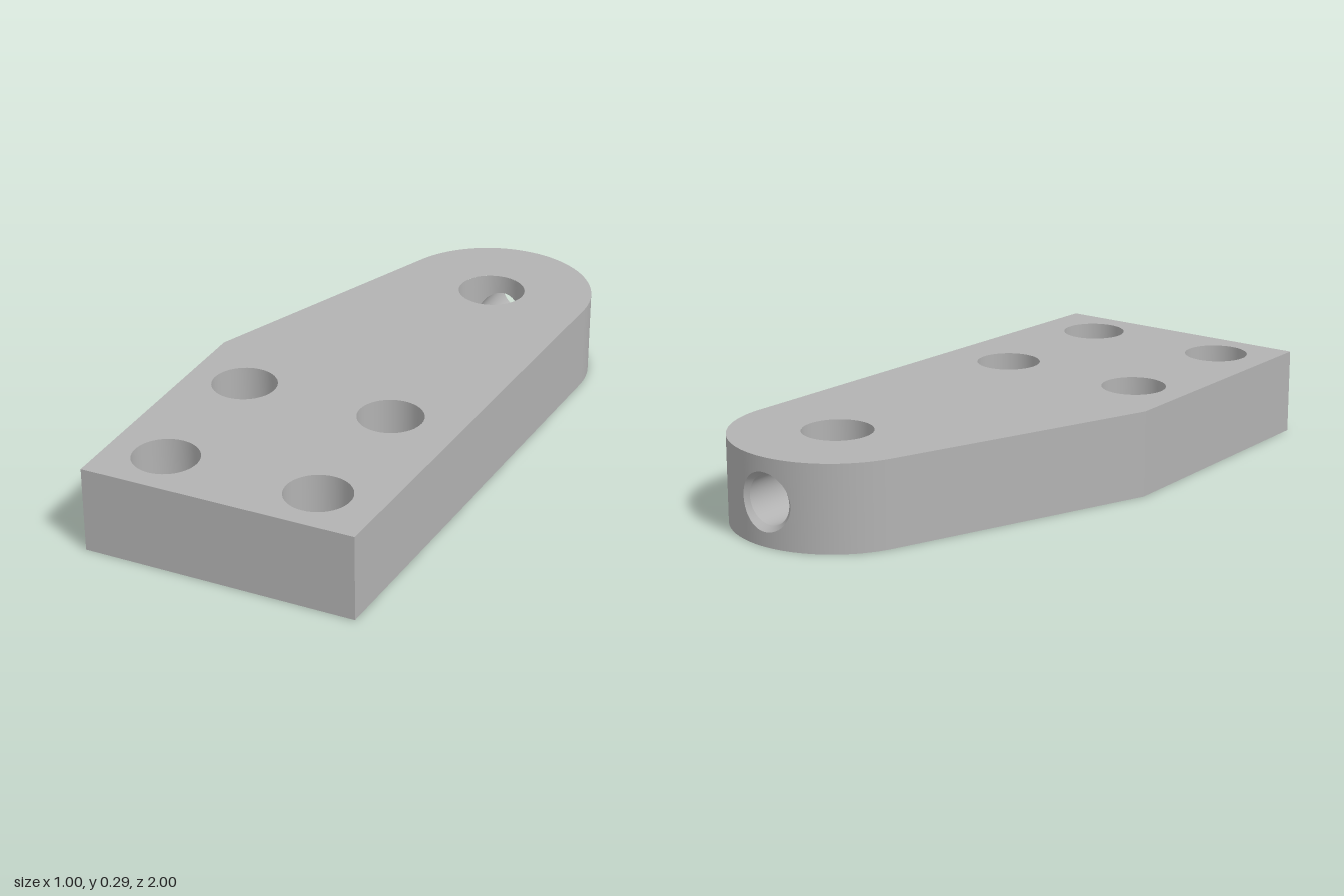
import * as THREE from 'three';
import { mergeGeometries } from 'three/addons/utils/BufferGeometryUtils.js';
import { ParametricGeometry } from 'three/addons/geometries/ParametricGeometry.js';

const H = 0.286, CX = 0.155, CZ = -0.655;      // thickness, centre of rounded end
const R = 0.345, BORE = 0.115;                 // rounded end and pivot bore radii
const DRILL = 0.08, RIM = 0.095;               // cross hole and its countersink
const BOLT = 0.065, HEAD = 0.107, SINK = 0.13; // counterbored bolt holes
const W_OUT = 0.45, W_IN = 1.2;                // half angles of the pierced wall patches
const TAU = Math.PI * 2;
const boltSpots = [-0.305, 0.21].flatMap(x => [0.31, 0.825].map(z => [x, z]));
const frontRight = [0.412, 1], frontLeft = [-0.5, 1], sideLeft = [-0.5, 0.085];

// Point on a circle in plan; angle 0 faces the back, positive towards +x
const onCircle = (cx, cz, r, a) => [cx + r * Math.sin(a), cz - r * Math.cos(a)];

// Angle at which the line from p touches the rounded end
function tangentAngle([x, z], side) {
  const dx = x - CX, dz = z - CZ;
  return Math.atan2(dx, -dz) + side * Math.acos(R / Math.hypot(dx, dz));
}
const A_LEFT = tangentAngle(sideLeft, 1), A_RIGHT = tangentAngle(frontRight, -1);

// Upright wall along a plan path, swept from one height to another
function wall(path, y0, y1, steps) {
  return new ParametricGeometry((u, v, p) => {
    const [x, z] = path(u);
    p.set(x, y0 + (y1 - y0) * v, z);
  }, steps, 1);
}
const arcWall = (cx, cz, r, a0, a1, y0, y1, steps = 48) =>
  wall(u => onCircle(cx, cz, r, a0 + (a1 - a0) * u), y0, y1, steps);
const flatWall = (a, b) =>
  wall(u => [a[0] + (b[0] - a[0]) * u, a[1] + (b[1] - a[1]) * u], H, 0, 1);

// Curved patch of full height, pierced by a round hole
function piercedPatch(r, hole, w, dir) {
  return new ParametricGeometry((u, v, p) => {
    const c = Math.cos(dir * u * TAU), s = Math.sin(dir * u * TAU);
    const k = 1 / Math.max(Math.abs(c), Math.abs(s));
    const a = THREE.MathUtils.lerp(Math.asin(hole * c / r), w * c * k, v);
    const y = THREE.MathUtils.lerp(hole * s, H / 2 * s * k, v);
    const [x, z] = onCircle(CX, CZ, r, a);
    p.set(x, H / 2 + y, z);
  }, 64, 8);
}

// Inner face of the cross hole between two rings of given radius and depth
function drillWall(r0, z0, r1, z1) {
  return new ParametricGeometry((u, v, p) => {
    const c = Math.cos(-u * TAU), s = Math.sin(-u * TAU);
    const r = THREE.MathUtils.lerp(r0, r1, v);
    p.set(CX + r * c, H / 2 + r * s, THREE.MathUtils.lerp(z0(r0 * c), z1(r1 * c), v));
  }, 64, 1);
}
const depthOn = r => x => CZ - Math.sqrt(r * r - x * x);

// Flat top (up = 1) or bottom (up = -1) face with its holes
function face(up, y, boltRadius) {
  const to2D = ([x, z]) => new THREE.Vector2(x, -up * z);
  const circle = (cx, cz, r) =>
    Array.from({ length: 48 }, (_, i) => to2D(onCircle(cx, cz, r, i / 48 * TAU)));
  const arc = Array.from({ length: 73 }, (_, i) =>
    onCircle(CX, CZ, R, A_LEFT + (A_RIGHT - A_LEFT) * i / 72));
  const shape = new THREE.Shape([...arc, frontRight, frontLeft, sideLeft].map(to2D));
  shape.holes.push(new THREE.Path(circle(CX, CZ, BORE)));
  for (const [x, z] of boltSpots) shape.holes.push(new THREE.Path(circle(x, z, boltRadius)));
  return new THREE.ShapeGeometry(shape).rotateX(-up * Math.PI / 2).translate(0, y, 0);
}

export function createModel() {
  const group = new THREE.Group();
  const grey = new THREE.MeshStandardMaterial({ color: 0xb2b2b2 });
  grey.name = 'plain grey';
  const add = (name, ...geos) => {
    const mesh = new THREE.Mesh(geos.length > 1 ? mergeGeometries(geos) : geos[0], grey);
    mesh.name = name;
    group.add(mesh);
  };

  add('topFace', face(1, H, HEAD));
  add('bottomFace', face(-1, 0, BOLT));

  // Outer sides
  add('straightSides',
    flatWall(onCircle(CX, CZ, R, A_RIGHT), frontRight),
    flatWall(frontRight, frontLeft),
    flatWall(frontLeft, sideLeft),
    flatWall(sideLeft, onCircle(CX, CZ, R, A_LEFT)));
  add('roundedEnd',
    arcWall(CX, CZ, R, A_LEFT, -W_OUT, H, 0),
    piercedPatch(R, RIM, W_OUT, 1),
    arcWall(CX, CZ, R, W_OUT, A_RIGHT, H, 0));

  // Pivot bore and the countersunk cross hole leading into it
  add('pivotBore',
    arcWall(CX, CZ, BORE, W_IN, TAU - W_IN, 0, H),
    piercedPatch(BORE, DRILL, W_IN, -1));
  const sinkDepth = () => -0.975;
  add('crossHoleCountersink', drillWall(RIM, depthOn(R), DRILL, sinkDepth));
  add('crossHole', drillWall(DRILL, sinkDepth, DRILL, depthOn(BORE)));

  // Counterbored bolt holes
  for (const [x, z] of boltSpots) {
    add('boltHole',
      arcWall(x, z, HEAD, 0, TAU, H - SINK, H),
      new THREE.RingGeometry(BOLT, HEAD, 48).rotateX(-Math.PI / 2).translate(x, H - SINK, z),
      arcWall(x, z, BOLT, 0, TAU, 0, H - SINK));
  }
  return group;
}
